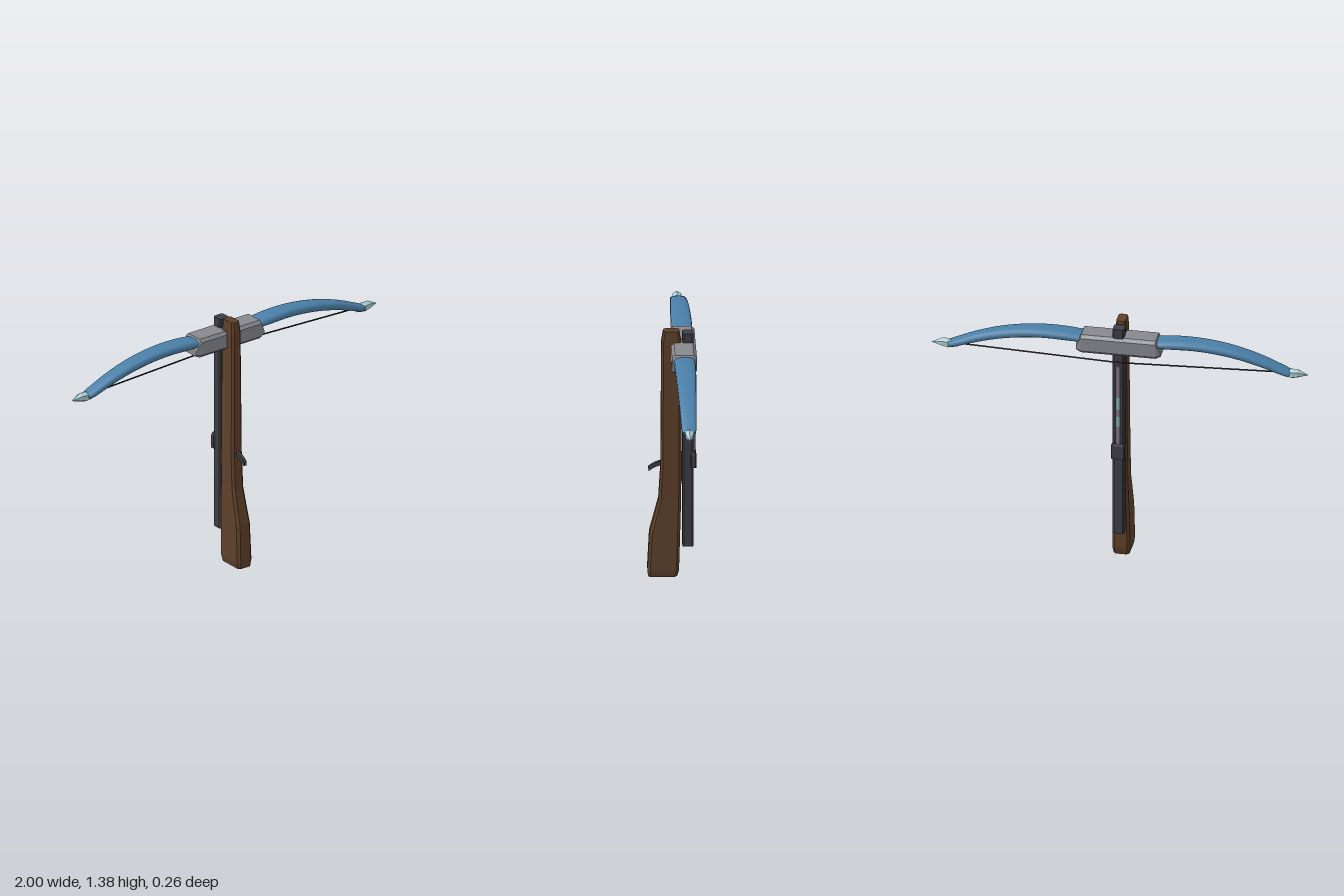
import * as THREE from 'three';
import { mergeVertices } from 'three/addons/utils/BufferGeometryUtils.js';

const mat = (name, color) => {
  const m = new THREE.MeshStandardMaterial({ color });
  m.name = name;
  return m;
};

// Skin a list of rings (each wound counter-clockwise about the travel direction) and cap both ends.
function loft(rings, smooth = false) {
  const pos = [];
  const tri = (...ps) => ps.forEach(p => pos.push(p[0], p[1], p[2]));
  const n = rings[0].length;
  for (let k = 0; k < rings.length - 1; k++) {
    const a = rings[k], b = rings[k + 1];
    for (let i = 0; i < n; i++) {
      const j = (i + 1) % n;
      tri(a[i], a[j], b[j]);
      tri(a[i], b[j], b[i]);
    }
  }
  const first = rings[0], last = rings[rings.length - 1];
  if (!smooth) for (let i = 1; i < n - 1; i++) {
    tri(first[0], first[i + 1], first[i]);
    tri(last[0], last[i], last[i + 1]);
  }
  let g = new THREE.BufferGeometry();
  g.setAttribute('position', new THREE.Float32BufferAttribute(pos, 3));
  if (smooth) g = mergeVertices(g, 1e-5);
  g.computeVertexNormals();
  return g;
}

// Chamfered rectangle, counter-clockwise
const octagon = (u, v, c) => [[u, -v + c], [u, v - c], [u - c, v], [-u + c, v],
  [-u, v - c], [-u, -v + c], [-u + c, -v], [u - c, -v]];
// Ring across y, with half width w and z from back to front
const ringY = (y, w, back, front, c) =>
  octagon(w, (front - back) / 2, c).map(([u, v]) => [u, y, (front + back) / 2 - v]);
// Ring across x
const ringX = (x, y, hy, hz, c) => octagon(hy, hz, c).map(([u, v]) => [x, y + u, v]);

export function createModel() {
  const wood = mat('wood', 0x5e4029);
  const iron = mat('dark iron', 0x3e3d44);
  const steel = mat('grey steel', 0x87888e);
  const blue = mat('blue limb', 0x4a7fa8);
  const ice = mat('pale tip', 0xa9cdd4);
  const cord = mat('black cord', 0x222224);
  const violet = mat('violet shaft', 0x8a7490);
  const teal = mat('teal band', 0x86b3b8);

  const model = new THREE.Group();
  const add = (name, geo, material, parent = model) => {
    const m = new THREE.Mesh(geo, material);
    m.name = name;
    parent.add(m);
    return m;
  };
  const bowZ = -0.06;

  // Wooden stock: y, half width, back z, front z, chamfer
  add('stock', loft([
    [0, 0.042, -0.028, 0.125, 0.014],
    [0.035, 0.047, -0.037, 0.128, 0.014],
    [0.24, 0.044, -0.043, 0.118, 0.014],
    [0.43, 0.037, -0.048, 0.07, 0.013],
    [0.62, 0.035, -0.05, 0.059, 0.012],
    [1.32, 0.029, -0.049, 0.055, 0.011],
    [1.382, 0.025, -0.039, 0.045, 0.01],
  ].map(r => ringY(...r))), wood);

  // Rail behind the stock, its spacer and the latch
  add('rail', loft([ringY(0.165, 0.03, -0.113, -0.055, 0.007),
    ringY(1.37, 0.03, -0.113, -0.055, 0.007)]), iron);
  const spacer = add('railSpacer', new THREE.BoxGeometry(0.03, 0.16, 0.02), iron);
  spacer.position.set(0, 0.61, -0.05);
  add('latch', loft([ringY(0.612, 0.037, -0.128, -0.096, 0.006),
    ringY(0.685, 0.037, -0.128, -0.096, 0.006),
    ringY(0.7, 0.03, -0.122, -0.1, 0.005)]), iron);

  // Curved trigger
  const lever = new THREE.Shape();
  lever.moveTo(0.045, 0.647);
  lever.quadraticCurveTo(0.09, 0.64, 0.123, 0.61);
  lever.lineTo(0.122, 0.586);
  lever.quadraticCurveTo(0.085, 0.617, 0.045, 0.622);
  const leverGeo = new THREE.ExtrudeGeometry(lever,
    { depth: 0.018, bevelEnabled: false, curveSegments: 4 });
  leverGeo.translate(0, 0, -0.009);
  leverGeo.rotateY(-Math.PI / 2);
  add('trigger', leverGeo, iron);

  // Bolt lying on the rail, in coloured sections
  const bolt = new THREE.Group();
  bolt.name = 'bolt';
  model.add(bolt);
  [[0.69, 0.8, violet], [0.8, 0.86, teal], [0.86, 0.9, violet],
    [0.9, 0.97, teal], [0.97, 1.155, violet]].forEach(([a, b, m]) => {
    const g = new THREE.CylinderGeometry(0.012, 0.012, b - a, 8);
    add('boltSection', g, m, bolt).position.set(0, (a + b) / 2, -0.111);
  });

  // Steel block holding the limbs
  add('bowBlock', loft([
    [-0.224, 1.247, 0.019, 0.054, 0.01],
    [-0.198, 1.268, 0.052, 0.065, 0.016],
    [0.198, 1.268, 0.052, 0.065, 0.016],
    [0.224, 1.247, 0.019, 0.054, 0.01],
  ].map(r => ringX(...r))), steel).position.z = bowZ;

  // Curved limb: x, y, half thickness, half depth
  const limbKeys = [[0.18, 1.288, 0.02, 0.055], [0.29, 1.295, 0.025, 0.056],
    [0.4, 1.297, 0.025, 0.054], [0.52, 1.287, 0.025, 0.051], [0.64, 1.265, 0.024, 0.047],
    [0.76, 1.23, 0.022, 0.043], [0.87, 1.188, 0.018, 0.039], [0.905, 1.176, 0.015, 0.034]];
  const path = new THREE.CatmullRomCurve3(limbKeys.map(k => new THREE.Vector3(k[0], k[1], 0)));
  const size = new THREE.CatmullRomCurve3(limbKeys.map(k => new THREE.Vector3(k[2], k[3], 0)));
  const round = v => Math.sign(v) * Math.pow(Math.abs(v), 0.7);
  const limbRings = [];
  for (let k = 0; k <= 21; k++) {
    const p = path.getPoint(k / 21), s = size.getPoint(k / 21), t = path.getTangent(k / 21);
    limbRings.push(Array.from({ length: 16 }, (_, i) => {
      const a = i / 16 * Math.PI * 2, u = round(Math.cos(a)) * s.x;
      return [p.x - t.y * u, p.y + t.x * u, round(Math.sin(a)) * s.y];
    }));
  }
  const limbGeo = loft(limbRings, true);
  const limbEnd = loft([limbRings[20], limbRings[21]]);

  // Faceted point at the limb end: x, y, radius
  const tipGeo = loft([[0.865, 1.17, 0.012], [0.915, 1.176, 0.028],
    [0.945, 1.179, 0.024], [1, 1.174, 0.001]].map(([x, y, r]) =>
    Array.from({ length: 6 }, (_, i) => {
      const a = (i / 6) * Math.PI * 2;
      return [x, y + Math.cos(a) * r, Math.sin(a) * r];
    })));

  for (const [side, turn] of [['left', 0], ['right', Math.PI]]) {
    const arm = new THREE.Group();
    arm.name = side + 'Arm';
    arm.position.z = bowZ;
    arm.rotation.y = turn;
    model.add(arm);
    add(side + 'Limb', limbGeo, blue, arm);
    add(side + 'LimbEnd', limbEnd, blue, arm);
    add(side + 'Tip', tipGeo, ice, arm);
  }

  // Bowstring, drawn back over the rail
  const string = new THREE.CurvePath();
  const knots = [[-0.9, bowZ], [-0.03, -0.118], [0.03, -0.118], [0.9, bowZ]]
    .map(([x, z]) => new THREE.Vector3(x, 1.18, z));
  for (let i = 0; i < 3; i++) string.add(new THREE.LineCurve3(knots[i], knots[i + 1]));
  add('bowstring', new THREE.TubeGeometry(string, 60, 0.0045, 6), cord);

  return model;
}
